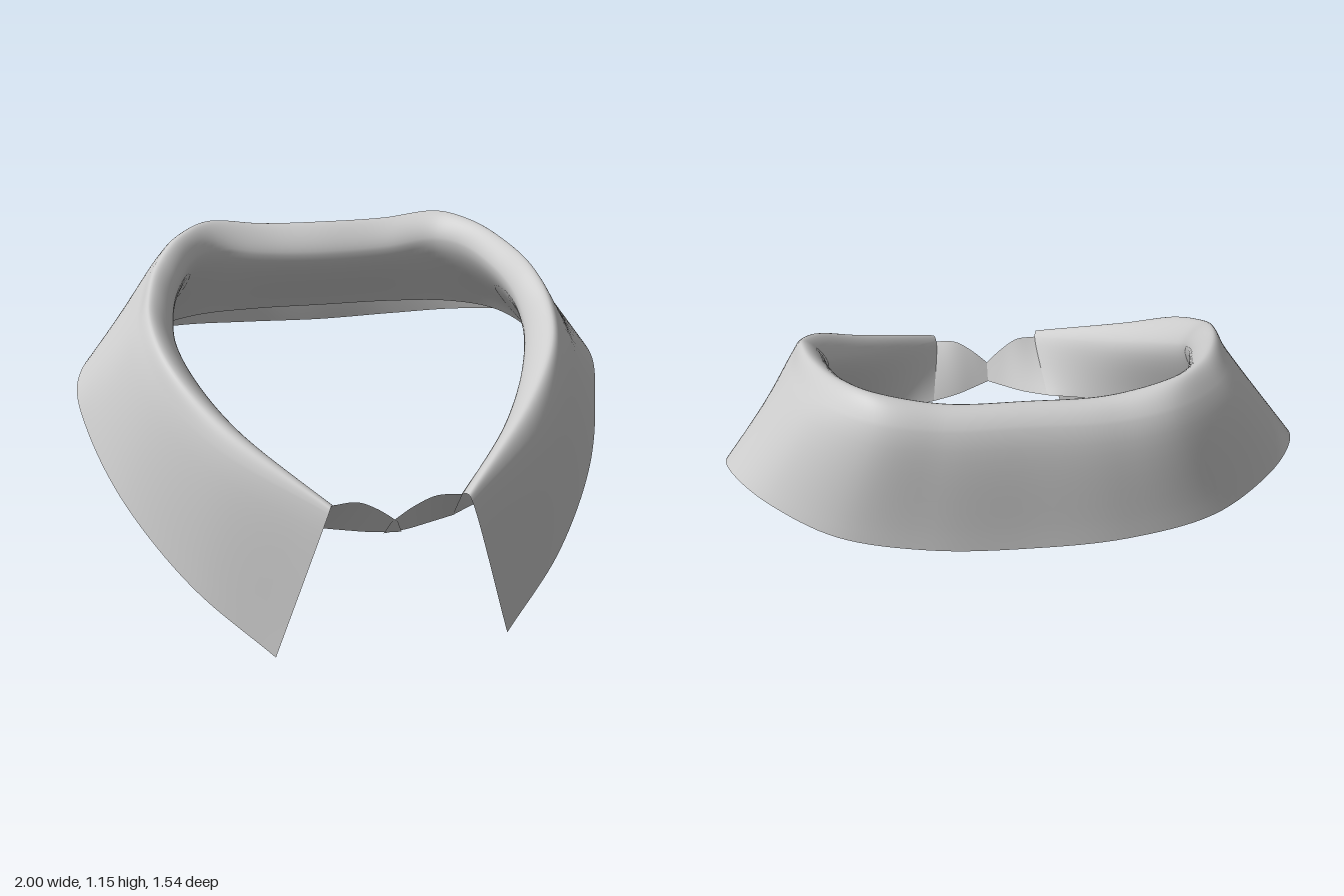
import * as THREE from 'three';

const material = new THREE.MeshStandardMaterial({ color: 0xcccccc, side: THREE.DoubleSide });

// Rails run from the centre back to the front opening on the left side (+x).
const leafEdge = [[0, .65, -.77], [.31, .66, -.762], [.6, .685, -.7], [.82, .715, -.545], [.95, .705, -.36],
  [1, .65, -.18], [.96, .535, 0], [.85, .375, .25], [.65, .175, .5], [.4, 0, .7]];
const shoulder = [[0, 1.06, -.71], [.25, 1.06, -.71], [.46, 1.08, -.68], [.63, 1.07, -.53], [.72, 1.02, -.3],
  [.75, .975, -.12], [.76, .92, .06], [.71, .81, .27], [.55, .69, .5], [.23, .565, .765]];
const foldTop = [[0, 1.11, -.64], [.25, 1.115, -.64], [.46, 1.145, -.6], [.57, 1.13, -.48], [.66, 1.09, -.28],
  [.7, 1.05, -.11], [.71, .985, .05], [.665, .895, .25], [.53, .77, .45], [.22, .585, .755]];
const foldInner = [[0, 1.0, -.55], [.25, 1.01, -.55], [.43, 1.04, -.53], [.52, 1.04, -.45], [.6, 1.0, -.24],
  [.63, .95, -.08], [.63, .88, .05], [.57, .79, .23], [.44, .68, .45], [.21, .572, .725]];
const standEdge = [[0, .735, -.71], [.28, .735, -.71], [.53, .735, -.67], [.7, .735, -.54], [.79, .71, -.33],
  [.81, .65, -.13], [.77, .575, .06], [.645, .49, .27], [.46, .425, .43], [.24, .39, .54]];

// Overlapping ends of the stand at the front opening.
const tabTop = [[.21, .572, .725], [.13, .57, .715], [.06, .53, .7], [-.01, .47, .685]];
const tabBottom = [[.24, .39, .54], [.14, .392, .58], [.06, .4, .62], [-.03, .415, .66]];

const mirrorPoint = ([x, y, z]) => [-x, y, z];
const mirrorRail = rail => [...rail.slice(1).reverse().map(mirrorPoint), ...rail];
const curve = points => new THREE.CatmullRomCurve3(points);

// Smooth sheet through a family of rails.
function loft(name, rails, along, across) {
  const curves = rails.map(r => curve(r.map(p => new THREE.Vector3(...p))));
  const positions = [], index = [];
  for (let i = 0; i <= along; i++) {
    const section = curve(curves.map(c => c.getPoint(i / along)));
    for (let j = 0; j <= across; j++) {
      const p = section.getPoint(j / across);
      // the opening sits slightly off centre
      p.x += 0.02 * Math.max(0, p.z / 0.75);
      positions.push(p.x, p.y, p.z);
      if (i < along && j < across) {
        const a = i * (across + 1) + j, b = a + across + 1;
        index.push(a, a + 1, b, b, a + 1, b + 1);
      }
    }
  }
  const geometry = new THREE.BufferGeometry();
  geometry.setAttribute('position', new THREE.Float32BufferAttribute(positions, 3));
  geometry.setIndex(index);
  geometry.computeVertexNormals();
  const mesh = new THREE.Mesh(geometry, material);
  mesh.name = name;
  return mesh;
}

export function createModel() {
  const group = new THREE.Group();
  group.name = 'shirtCollar';
  // Leaf, rolled fold and inner stand as one folded band
  group.add(loft('foldedCollar', [leafEdge, shoulder, foldTop, foldInner, standEdge].map(mirrorRail), 144, 40));
  // Stand ends meeting at the front
  const tab = [tabTop, tabBottom];
  group.add(loft('leftStandEnd', tab, 16, 8));
  group.add(loft('rightStandEnd', tab.map(r => r.map(mirrorPoint)), 16, 8));
  return group;
}
